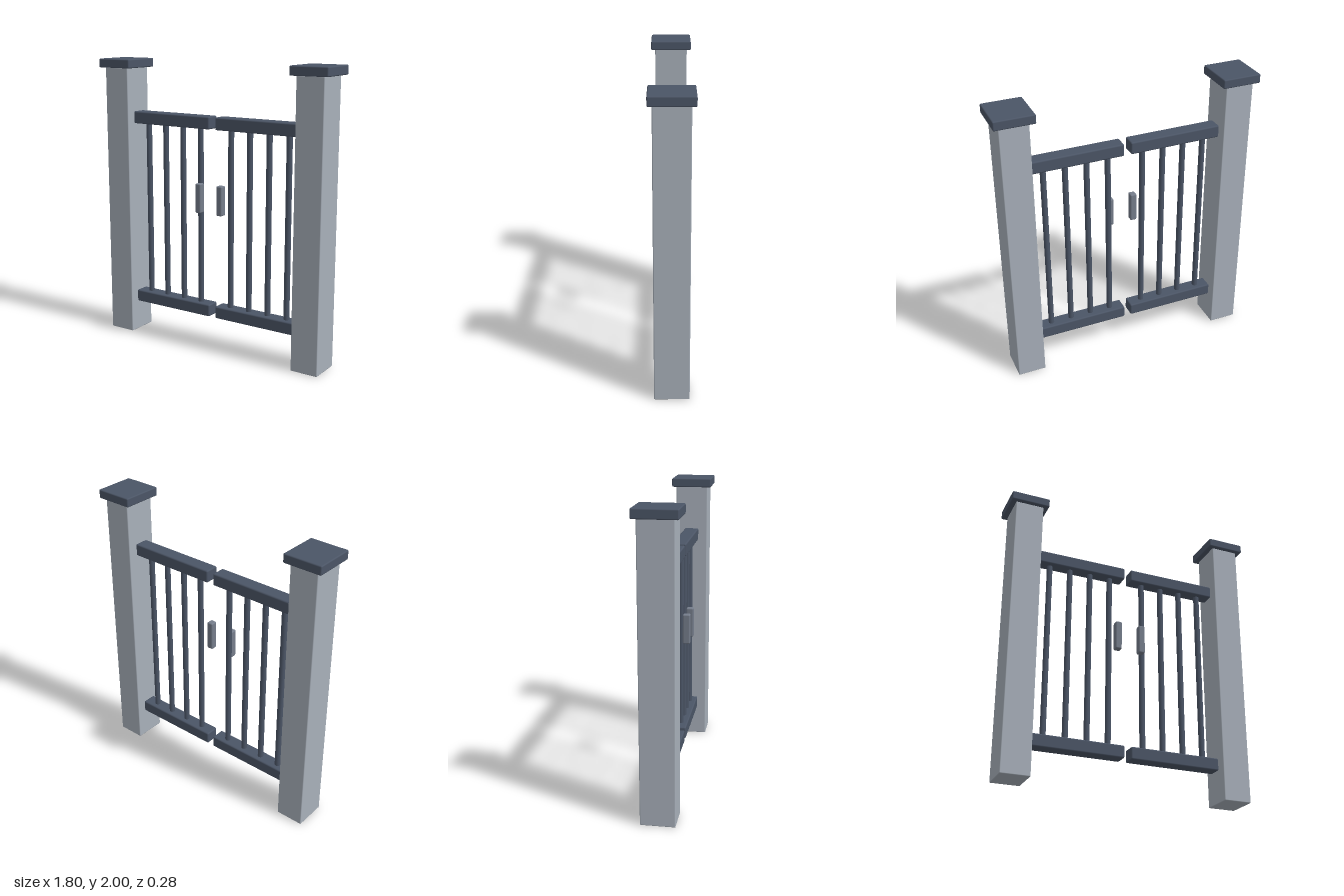
import * as THREE from 'three';
import { RoundedBoxGeometry } from 'three/addons/geometries/RoundedBoxGeometry.js';

const postMat = new THREE.MeshStandardMaterial({ color: 0xa8b0ba });
const darkMat = new THREE.MeshStandardMaterial({ color: 0x4b5566 });
const handleMat = new THREE.MeshStandardMaterial({ color: 0x757d8b });

// Box with softly eased edges, placed by its centre
function block(parent, name, mat, [w, h, d], [x, y, z], ease) {
  const mesh = new THREE.Mesh(new RoundedBoxGeometry(w, h, d, 2, ease), mat);
  mesh.name = name;
  mesh.position.set(x, y, z);
  parent.add(mesh);
}

// One post with its gate leaf; side is +1 (left) or -1 (right)
function gateHalf(side) {
  const half = new THREE.Group();
  half.name = side > 0 ? 'leftHalf' : 'rightHalf';

  // Post and cap
  block(half, 'post', postMat, [0.196, 1.94, 0.228], [side * 0.766, 0.97, 0], 0.006);
  block(half, 'postCap', darkMat, [0.268, 0.062, 0.284], [side * 0.766, 1.969, 0], 0.008);

  const leaf = new THREE.Group();
  leaf.name = 'gateLeaf';
  half.add(leaf);

  // Horizontal rails
  for (const [name, y] of [['topRail', 1.59], ['bottomRail', 0.262]]) {
    block(leaf, name, darkMat, [0.644, 0.086, 0.1], [side * 0.346, y, 0], 0.01);
  }

  // Upright round bars, running into both rails
  const barGeo = new THREE.CylinderGeometry(0.02, 0.02, 1.3, 12);
  for (let i = 0; i < 4; i++) {
    const bar = new THREE.Mesh(barGeo, darkMat);
    bar.name = 'bar';
    bar.position.set(side * (0.124 + i * 0.1485), 0.926, 0);
    leaf.add(bar);
  }

  // Pull handle in front of the inner bar
  block(leaf, 'handle', handleMat, [0.045, 0.205, 0.05], [side * 0.086, 1.074, 0.071], 0.009);
  return half;
}

export function createModel() {
  const gate = new THREE.Group();
  gate.name = 'gate';
  for (const side of [1, -1]) gate.add(gateHalf(side));
  return gate;
}
